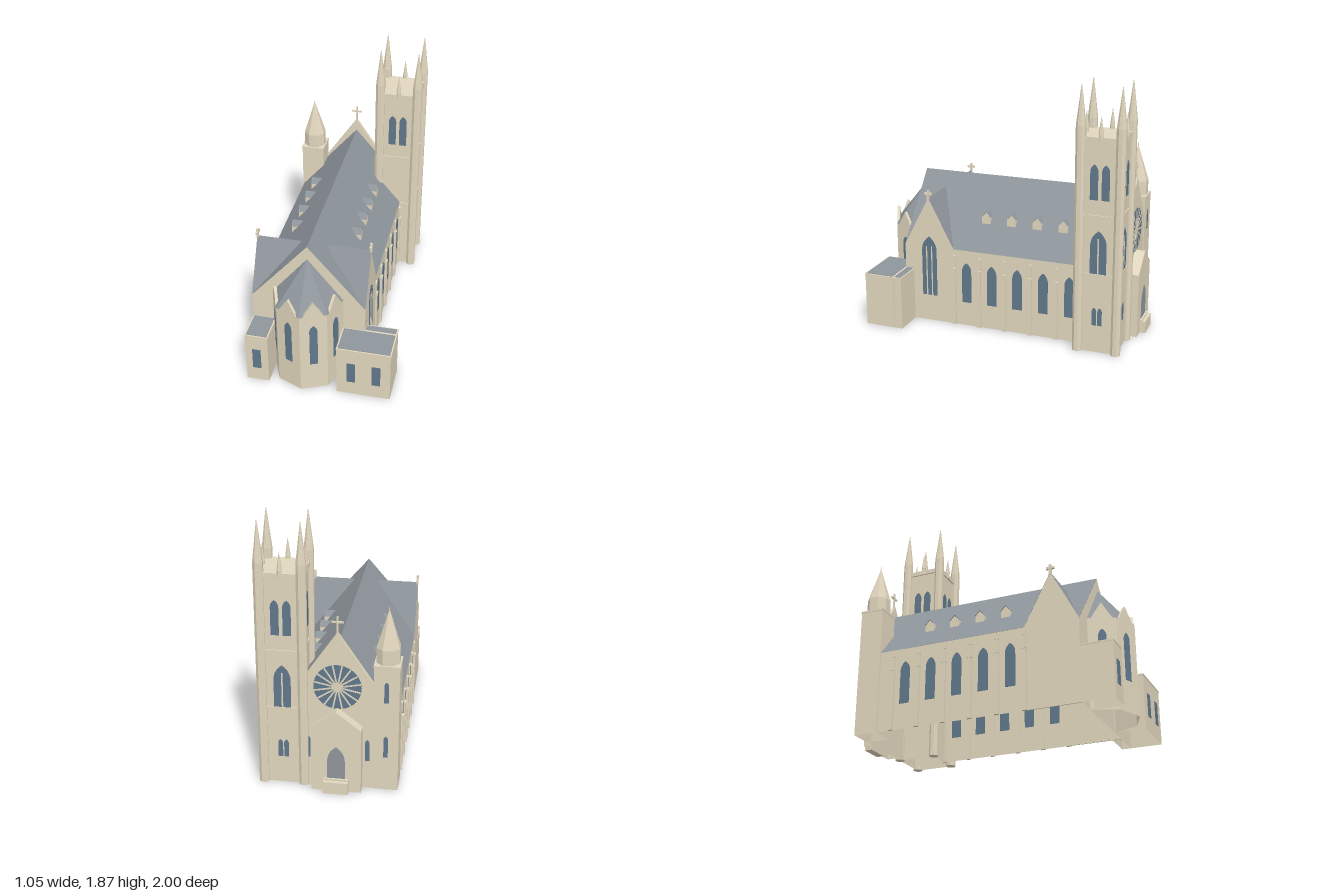
import * as THREE from 'three';

const mat = (name, color) => {
  const m = new THREE.MeshStandardMaterial({ color, side: THREE.DoubleSide });
  m.name = name;
  return m;
};

// Drops triangles whose normal's y lies outside the given range
function keepFaces(source, minY, maxY) {
  const geo = source.index ? source.toNonIndexed() : source;
  const pos = geo.attributes.position, out = [];
  const [a, b, c, n] = Array.from({ length: 4 }, () => new THREE.Vector3());
  for (let i = 0; i < pos.count; i += 3) {
    [a, b, c].forEach((v, k) => v.fromBufferAttribute(pos, i + k));
    new THREE.Triangle(a, b, c).getNormal(n);
    if (n.y >= minY && n.y <= maxY) out.push(...a, ...b, ...c);
  }
  const result = new THREE.BufferGeometry();
  result.setAttribute('position', new THREE.Float32BufferAttribute(out, 3));
  result.computeVertexNormals();
  return result;
}

export function createModel() {
  const stone = mat('stone', 0xe2d7be);
  const slate = mat('slate', 0x8e959b);
  const glass = mat('window glass', 0x60788c);
  const root = new THREE.Group();
  const CX = -0.108, HALF = 0.4, EAVE = 0.58, RIDGE = 1.05;

  const add = (parent, name, geo, m, x = 0, y = 0, z = 0) => {
    const mesh = new THREE.Mesh(geo, m);
    mesh.name = name;
    mesh.position.set(x, y, z);
    parent.add(mesh);
    return mesh;
  };
  const group = (name, x, y, z, rotY = 0, parent = root) => {
    const g = new THREE.Group();
    g.name = name;
    g.position.set(x, y, z);
    g.rotation.y = rotY;
    parent.add(g);
    return g;
  };
  // Box given by its minimum and maximum corners
  const box = (p, name, x0, x1, y0, y1, z0, z1, m = stone) =>
    add(p, name, new THREE.BoxGeometry(x1 - x0, y1 - y0, z1 - z0), m, (x0 + x1) / 2, (y0 + y1) / 2, (z0 + z1) / 2);
  const openBelow = mesh => { mesh.geometry = keepFaces(mesh.geometry, -0.5, 1); };
  // Gabled outline, extruded towards +z
  const gable = (p, name, half, eave, peak, depth, x, y, z) => {
    const pts = [[-half, 0], [half, 0], [half, eave], [0, peak], [-half, eave]];
    const shape = new THREE.Shape(pts.map(a => new THREE.Vector2(...a)));
    return add(p, name, new THREE.ExtrudeGeometry(shape, { depth, bevelEnabled: false }), stone, x, y, z);
  };
  // Thin pointed-arch plate on a wall that faces local +z
  const arch = (p, name, w, y0, y1, x, z, m = glass) => {
    const r = w / 2, h = y1 - y0, s = h - w * 0.95;
    const shape = new THREE.Shape();
    shape.moveTo(-r, 0).lineTo(r, 0).lineTo(r, s);
    shape.quadraticCurveTo(r, s + w * 0.6, 0, h);
    shape.quadraticCurveTo(-r, s + w * 0.6, -r, s);
    const geo = new THREE.ExtrudeGeometry(shape, { depth: 0.006, bevelEnabled: false, curveSegments: 5 });
    add(p, name, geo, m, x, y0, z - 0.003);
  };
  const face = (p, name, pts) => {
    const idx = pts.length === 4 ? [0, 1, 2, 0, 2, 3] : [0, 1, 2];
    const geo = new THREE.BufferGeometry();
    geo.setAttribute('position', new THREE.Float32BufferAttribute(idx.flatMap(i => pts[i]), 3));
    geo.computeVertexNormals();
    add(p, name, geo, slate);
  };
  const prism = (p, name, r0, r1, y0, y1, x, z) => {
    const geo = new THREE.CylinderGeometry(r1, r0, y1 - y0, 8).toNonIndexed();
    geo.computeVertexNormals();
    add(p, name, geo, stone, x, (y0 + y1) / 2, z).rotation.y = Math.PI / 8;
  };
  const cross = (p, name, h, w, t, x, y, z) => {
    box(p, name, x - t, x + t, y, y + h, z - t, z + t);
    box(p, name + 'Arm', x - w / 2, x + w / 2, y + h * 0.66 - t, y + h * 0.66 + t, z - t, z + t);
  };

  // Nave walls, a shell open to the ground, and main roof
  const nave = gable(root, 'nave', HALF, EAVE, RIDGE - 0.002, 1.605, CX, 0, -0.86);
  nave.geometry = keepFaces(nave.geometry, -0.1, 0.1);
  for (const s of [-1, 1]) {
    const x = CX + s * (HALF + 0.002);
    const q = [[CX, RIDGE, -0.86], [CX, RIDGE, 0.745], [x, EAVE, 0.745], [x, EAVE, -0.86]];
    face(root, 'mainRoof', s > 0 ? q : q.reverse());
  }

  // Both long sides: local +z points outwards
  for (const s of [-1, 1]) {
    const side = group(s > 0 ? 'leftSide' : 'rightSide', CX + s * HALF, 0, 0, s * Math.PI / 2);
    const lx = z => -s * z;
    for (let i = 0; i < 6; i++) {
      const b = lx(0.36 - 0.195 * i);
      box(side, 'buttress', b - 0.016, b + 0.016, 0, 0.425, -0.005, 0.014);
      gable(side, 'buttressCap', 0.018, 0.01, 0.018, 0.023, b, 0.425, -0.005);
      box(side, 'buttressTop', b - 0.013, b + 0.013, 0.43, 0.525, -0.005, 0.008);
      gable(side, 'buttressTopCap', 0.016, 0.01, 0.018, 0.016, b, 0.523, -0.005);
      if (i < 5) arch(side, 'naveWindow', 0.072, 0.18, 0.485, lx(0.26 - 0.195 * i), 0);
    }
    // Transept gable with its roof running into the main roof
    const zc = 0.5525, hw = 0.1925, peak = 0.95;
    gable(side, 'transeptGable', hw, EAVE, peak - 0.003, 0.008, lx(zc), 0, -0.006);
    const inX = CX + s * (RIDGE - peak) * HALF / (RIDGE - EAVE), outX = CX + s * (HALF + 0.003);
    for (const e of [-1, 1]) {
      const t = [[outX, peak, zc], [inX, peak, zc], [outX, EAVE, zc + e * hw]];
      face(root, 'transeptRoof', s * e < 0 ? t.reverse() : t);
    }
    if (s > 0) {
      arch(side, 'transeptWindow', 0.115, 0.2, 0.655, lx(zc), 0.002);
      for (const m of [-0.02, 0.02])
        box(side, 'mullion', lx(zc) + m - 0.004, lx(zc) + m + 0.004, 0.2, 0.58, 0, 0.008);
    }
    cross(side, 'transeptCross', 0.075, 0.055, 0.008, lx(zc), 0.93, 0);
    // Dormers
    for (let i = 0; i < 4; i++) {
      const d = lx(0.163 - 0.195 * i);
      gable(side, 'dormer', 0.033, 0.05, 0.085, 0.07, d, 0.752, -0.215);
      for (const e of [-1, 1]) {
        const r = [[d, 0.842, -0.142], [d, 0.842, -0.225], [d + e * 0.036, 0.802, -0.19], [d + e * 0.036, 0.802, -0.142]];
        face(side, 'dormerRoof', e > 0 ? r.reverse() : r);
      }
    }
  }

  // Apse: half octagon with a gablet over each face
  const AZ = 0.747;
  const halfOctagon = (name, top, y0, y1, m) => {
    const geo = new THREE.CylinderGeometry(top, 0.25, y1 - y0, 4, 1, true, -Math.PI / 2, Math.PI).toNonIndexed();
    geo.computeVertexNormals();
    add(root, name, geo, m, CX, (y0 + y1) / 2, AZ);
  };
  halfOctagon('apse', 0.25, 0, 0.64, stone);
  halfOctagon('apseRoof', 0, 0.64, 0.95, slate);
  for (const k of [-1.5, -0.5, 0.5, 1.5]) {
    const f = group('apseFace', CX, 0, AZ, k * Math.PI / 4);
    arch(f, 'apseWindow', 0.056, 0.22, 0.56, 0, 0.231);
    gable(f, 'apseGablet', 0.07, 0.015, 0.125, 0.02, 0, 0.628, 0.212);
  }

  // Low annexes beside the apse
  const annex = (name, x0, x1, z0, z1) => {
    const g = group(name, 0, 0, 0);
    openBelow(box(g, 'annexWalls', x0, x1, 0, 0.385, z0, z1));
    box(g, 'annexCoping', x0 - 0.003, x1 + 0.003, 0.383, 0.394, z0 - 0.003, z1 + 0.003);
    box(g, 'annexRoof', x0 + 0.007, x1 - 0.007, 0.391, 0.397, z0 + 0.007, z1 - 0.007, slate);
  };
  annex('largeAnnex', 0.139, 0.516, 0.745, 0.966);
  annex('smallAnnex', 0.29, 0.516, 0.68, 0.741);
  annex('rightAnnex', -0.508, -0.348, 0.745, 0.966);
  for (const x of [-0.43, 0.24, 0.417])
    box(root, 'annexWindow', x - 0.03, x + 0.03, 0.11, 0.275, 0.962, 0.97, glass);

  // Tower
  const tower = group('tower', 0.26, 0, -0.752);
  openBelow(box(tower, 'towerShaft', -0.14, 0.14, 0, 1.51, -0.14, 0.14));
  for (const [y, h, r] of [[0.57, 0.008, 0.147], [0.985, 0.01, 0.147], [1.5, 0.03, 0.15]])
    box(tower, 'stringCourse', -r, r, y - 0.004, y + h, -r, r);
  for (let i = 0; i < 4; i++) {
    const f = group('towerSide', 0, 0, 0, i * Math.PI / 2, tower);
    prism(f, 'cornerShaft', 0.035, 0.035, 0, 1.6, 0.138, 0.138);
    prism(f, 'cornerSpire', 0.035, 0.002, 1.6, 1.872, 0.138, 0.138);
    prism(f, 'pinnacleBase', 0.016, 0.016, 1.5, 1.55, 0, 0.14);
    prism(f, 'pinnacle', 0.018, 0.001, 1.55, 1.67, 0, 0.14);
    // Only the two outer sides have windows below the belfry
    const outer = i === 1 || i === 2;
    for (const e of [-1, 1]) {
      arch(f, 'belfryWindow', 0.055, 1.1, 1.345, e * 0.04, 0.14);
      if (outer) arch(f, 'lowerWindow', 0.032, 0.2, 0.33, e * 0.02, 0.14);
    }
    if (outer) {
      arch(f, 'middleWindow', 0.115, 0.575, 0.885, 0, 0.14);
      box(f, 'mullion', -0.005, 0.005, 0.575, 0.83, 0.135, 0.146);
    }
  }

  // Entrance front: local +z points to the back
  const front = group('entranceFront', CX, 0, -0.885, Math.PI);
  openBelow(gable(front, 'entranceGable', 0.38, EAVE, 1.14, 0.025, 0, 0, -0.025));
  cross(front, 'gableCross', 0.12, 0.08, 0.0055, 0, 1.13, -0.013);
  const rose = group('roseWindow', 0, 0.75, 0, 0, front);
  add(rose, 'roseGlass', new THREE.CylinderGeometry(0.16, 0.16, 0.008, 36), glass).rotation.x = Math.PI / 2;
  for (let i = 0; i < 8; i++) {
    const spoke = add(rose, 'roseSpoke', new THREE.BoxGeometry(0.318, 0.011, 0.008), stone, 0, 0, 0.002);
    spoke.rotation.z = (i + 0.5) * Math.PI / 8;
  }
  add(rose, 'roseHub', new THREE.CylinderGeometry(0.03, 0.03, 0.01, 16), stone, 0, 0, 0.002).rotation.x = Math.PI / 2;
  for (const s of [-1, 1]) arch(front, 'sideWindow', 0.03, 0.21, 0.37, s * 0.2, 0);
  openBelow(gable(front, 'porch', 0.168, 0.47, 0.6, 0.075, 0, 0, -0.002));
  arch(front, 'door', 0.12, 0.09, 0.34, 0, 0.073, slate);
  box(front, 'upperStep', -0.085, 0.085, 0, 0.1, 0.06, 0.09);
  box(front, 'lowerStep', -0.085, 0.085, 0, 0.088, 0.06, 0.115);

  // Corner turret
  const turret = group('turret', -0.432, 0, -0.805, Math.PI);
  openBelow(box(turret, 'turretShaft', -0.085, 0.085, 0, 0.92, -0.085, 0.085));
  box(turret, 'turretCap', -0.088, 0.088, 0.91, 0.925, -0.088, 0.088);
  prism(turret, 'turretDrum', 0.083, 0.083, 0.92, 1.03, 0, 0);
  prism(turret, 'turretSpire', 0.083, 0.004, 1.03, 1.28, 0, 0);
  prism(turret, 'turretFinial', 0.005, 0.002, 1.27, 1.31, 0, 0);
  arch(turret, 'turretWindow', 0.03, 0.25, 0.41, 0, 0.085);
  arch(turret, 'turretWindow', 0.03, 0.66, 0.81, 0, 0.085);

  return root;
}
